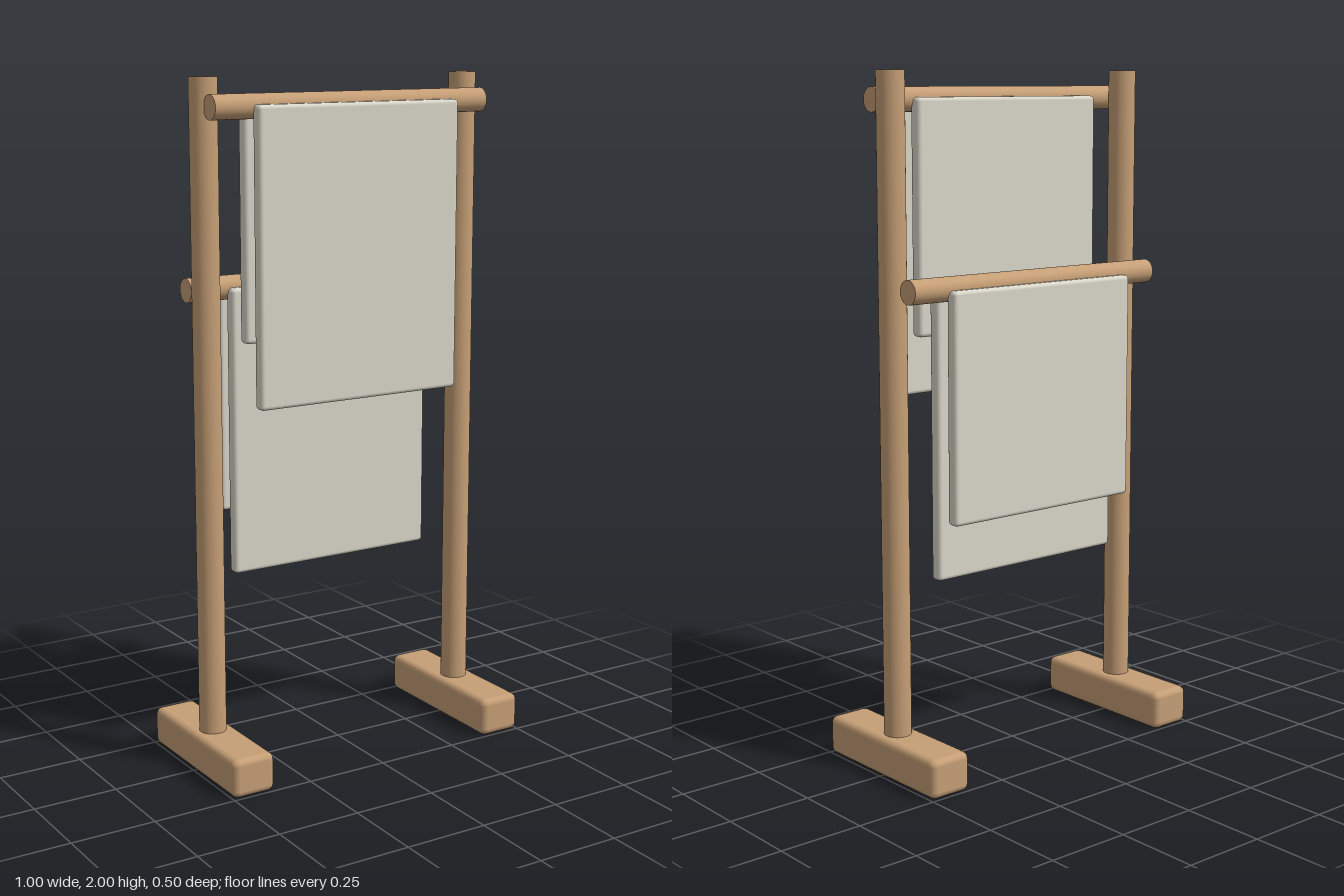
import * as THREE from 'three';
import { RoundedBoxGeometry } from 'three/addons/geometries/RoundedBoxGeometry.js';

export function createModel() {
  const model = new THREE.Group();
  model.name = 'towelRack';

  const wood = new THREE.MeshStandardMaterial({ color: 0xc69f76 });
  wood.name = 'wood';
  const cloth = new THREE.MeshStandardMaterial({ color: 0xdad7ca });
  cloth.name = 'cloth';

  const add = (name, geometry, material, x, y, z) => {
    const mesh = new THREE.Mesh(geometry, material);
    mesh.name = name;
    mesh.position.set(x, y, z);
    model.add(mesh);
    return mesh;
  };

  // Feet and upright posts, mirrored
  for (const [side, s] of [['left', 1], ['right', -1]]) {
    add(side + 'Foot', new RoundedBoxGeometry(0.133, 0.115, 0.5, 2, 0.02), wood, s * 0.4335, 0.0575, 0);
    add(side + 'Post', new THREE.CylinderGeometry(0.04, 0.04, 1.9, 32), wood, s * 0.4335, 1.05, 0);
  }

  // Horizontal rails
  const rail = (name, y, z) => {
    const geometry = new THREE.CylinderGeometry(0.035, 0.035, 0.9, 32);
    geometry.rotateZ(Math.PI / 2);
    add(name, geometry, wood, 0, y, z);
  };
  rail('upperFrontRail', 1.92, 0.067);
  rail('lowerBackRail', 1.403, -0.091);

  // Hanging towel panels, one on each side of a rail
  const panel = (name, bottom, top, z) => {
    const geometry = new RoundedBoxGeometry(0.664, top - bottom, 0.04, 2, 0.012);
    add(name, geometry, cloth, 0, (top + bottom) / 2, z);
  };
  panel('upperTowelFront', 1.08, 1.926, 0.11);
  panel('upperTowelBack', 1.257, 1.926, 0.028);
  panel('lowerTowelFront', 0.563, 1.406, -0.052);
  panel('lowerTowelBack', 0.737, 1.402, -0.129);

  return model;
}
